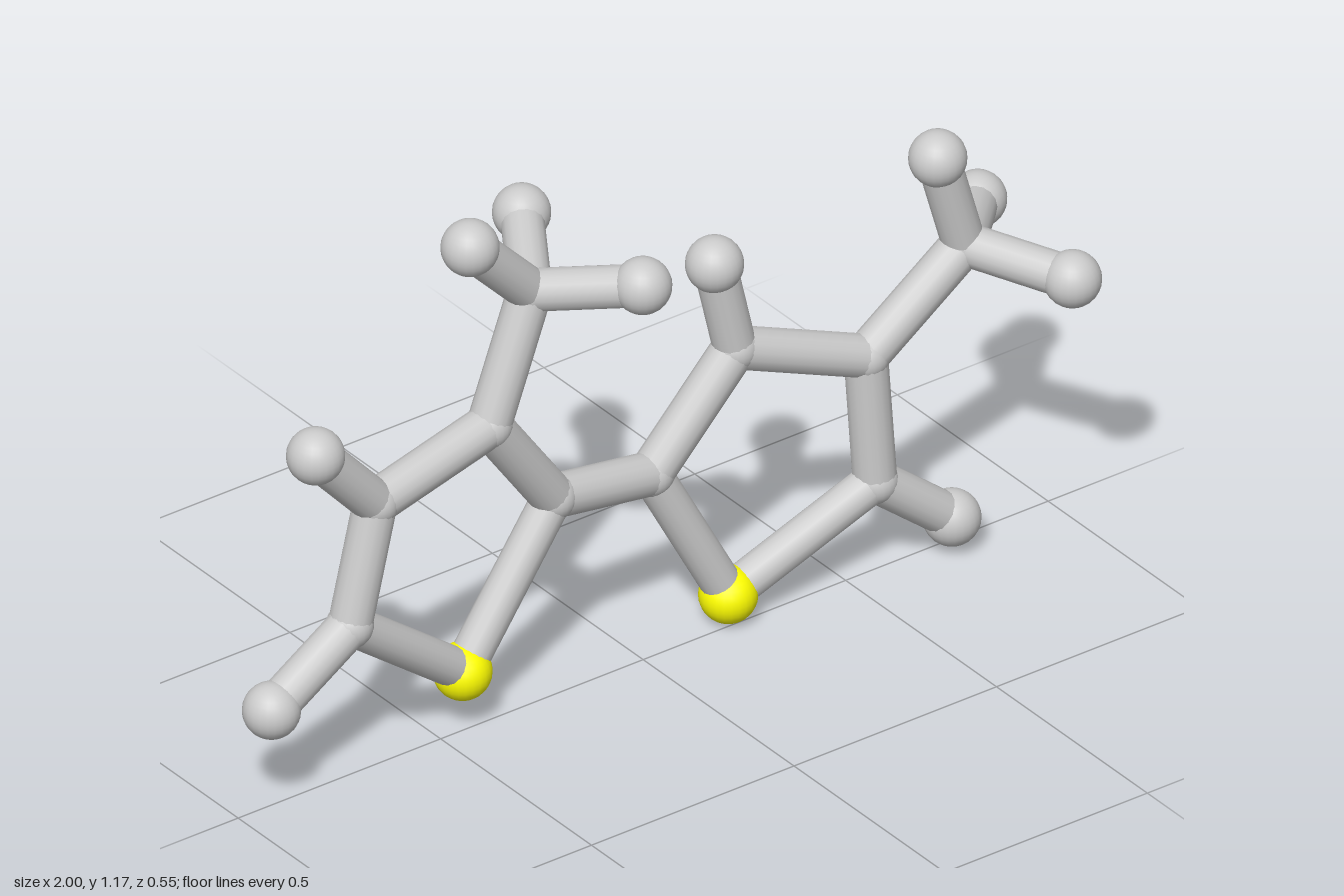
import * as THREE from 'three';

// Atom centres
const carbons = {
  // left ring
  a2: [-0.2, 0.44, -0.03], a3: [-0.37, 0.675, -0.015], a4: [-0.665, 0.615, 0.005], a5: [-0.735, 0.36, 0.015],
  // right ring
  b2: [0.06, 0.385, -0.055], b3: [0.26, 0.61, -0.045], b4: [0.55, 0.505, 0], b5: [0.565, 0.215, 0.01],
  // methyl groups
  am: [-0.26, 0.945, -0.025], bm: [0.785, 0.685, 0.01],
};
const sulphurs = { aS: [-0.435, 0.128, -0.015], bS: [0.225, 0.061, -0.02] };
// Hydrogens listed with the carbon that carries them
const hydrogens = [
  ['a5', [-0.94, 0.245, 0.03]],
  ['a4', [-0.82, 0.785, 0.015]],
  ['am', [-0.42, 1.11, -0.01]],
  ['am', [-0.115, 0.99, 0.153]],
  ['am', [-0.14, 0.988, -0.215]],
  ['b3', [0.215, 0.817, -0.052]],
  ['b5', [0.74, 0.075, 0.03]],
  ['bm', [0.72, 0.908, 0.01]],
  ['bm', [0.9, 0.662, 0.215]],
  ['bm', [0.94, 0.652, -0.153]],
];
const bonds = [
  ['a2', 'a3'], ['a3', 'a4'], ['a4', 'a5'], ['a5', 'aS'], ['aS', 'a2'], ['a3', 'am'],
  ['b2', 'b3'], ['b3', 'b4'], ['b4', 'b5'], ['b5', 'bS'], ['bS', 'b2'], ['b4', 'bm'],
  ['a2', 'b2'],
];

const grey = new THREE.MeshStandardMaterial({ color: 0xcccccc });
const yellow = new THREE.MeshStandardMaterial({ color: 0xffff00 });
const UP = new THREE.Vector3(0, 1, 0);

function ball(name, position, radius, material) {
  const mesh = new THREE.Mesh(new THREE.SphereGeometry(radius, 24, 16), material);
  mesh.name = name;
  mesh.position.set(...position);
  return mesh;
}

// Cylinder running from one atom centre to another
function rod(name, from, to, radius) {
  const start = new THREE.Vector3(...from);
  const along = new THREE.Vector3(...to).sub(start);
  const mesh = new THREE.Mesh(new THREE.CylinderGeometry(radius, radius, along.length(), 16, 1, true), grey);
  mesh.name = name;
  mesh.position.copy(start).addScaledVector(along, 0.5);
  mesh.quaternion.setFromUnitVectors(UP, along.normalize());
  return mesh;
}

export function createModel() {
  const model = new THREE.Group();
  model.name = 'ballAndStickMolecule';
  const atoms = { ...carbons, ...sulphurs };

  // Joints and yellow ring atoms
  for (const p of Object.values(carbons)) model.add(ball('carbonJoint', p, 0.048, grey));
  for (const p of Object.values(sulphurs)) model.add(ball('sulphurAtom', p, 0.06, yellow));

  // Ring, bridge and methyl bonds
  for (const [from, to] of bonds) {
    const slim = from in sulphurs || to in sulphurs;
    model.add(rod('bond', atoms[from], atoms[to], slim ? 0.041 : 0.045));
  }

  // Hydrogen balls on their stems
  for (const [carbon, p] of hydrogens) {
    model.add(ball('hydrogenAtom', p, 0.059, grey));
    model.add(rod('hydrogenBond', atoms[carbon], p, 0.044));
  }
  return model;
}
